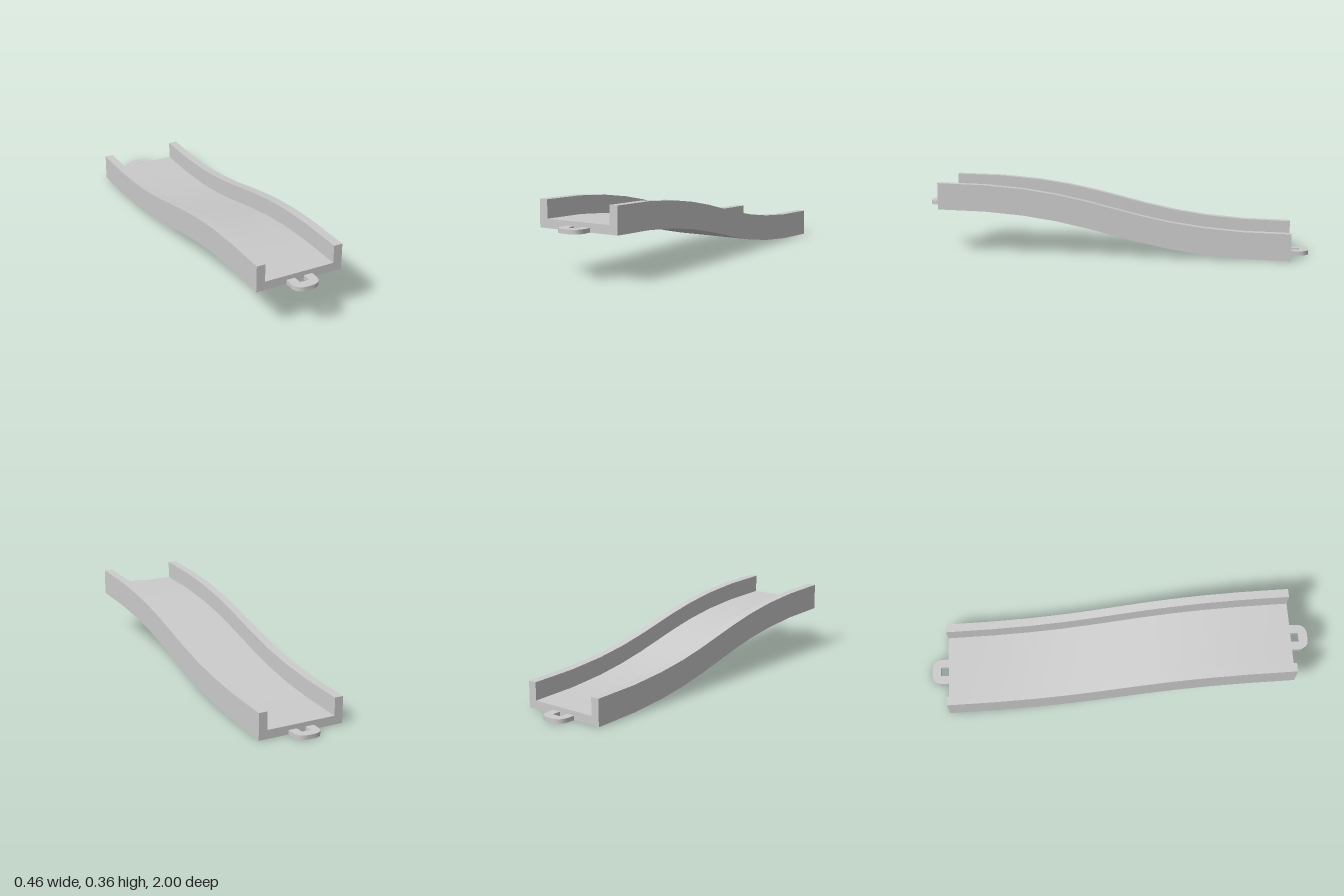
import * as THREE from 'three';
import { toCreasedNormals } from 'three/addons/utils/BufferGeometryUtils.js';

const HALF_LENGTH = 0.908;  // channel end in z
const RISE = 0.228;         // height of the front end
const HALF_WIDTH = 0.228;
const INNER = 0.183;        // inner face of the side walls
const FLOOR = 0.045;
const WALL = 0.137;

const material = new THREE.MeshStandardMaterial({ color: 0xcccccc });

function addMesh(group, name, geometry) {
  const mesh = new THREE.Mesh(toCreasedNormals(geometry, Math.PI / 6), material);
  mesh.name = name;
  group.add(mesh);
  return mesh;
}

// U-shaped section, extruded and then bent into an S-shaped slope
function channelGeometry() {
  const section = new THREE.Shape([
    [-HALF_WIDTH, 0], [HALF_WIDTH, 0], [HALF_WIDTH, WALL], [INNER, WALL],
    [INNER, FLOOR], [-INNER, FLOOR], [-INNER, WALL], [-HALF_WIDTH, WALL],
  ].map(([x, y]) => new THREE.Vector2(x, y)));
  const geometry = new THREE.ExtrudeGeometry(section, { depth: 1, steps: 10, bevelEnabled: false });
  const p = geometry.attributes.position;
  for (let i = 0; i < p.count; i++) {
    const t = p.getZ(i);
    p.setY(i, p.getY(i) + RISE * t * t * (3 - 2 * t));
    p.setZ(i, HALF_LENGTH * (t ** 3 - (1 - t) ** 3));
  }
  return geometry;
}

// Flat staple-shaped loop reaching out from the end of the channel
function loopGeometry() {
  const w = 0.069, r = 0.05, hole = 0.024, end = 1, holeEnd = 0.953;
  const s = new THREE.Shape();
  s.moveTo(hole, HALF_LENGTH);
  s.lineTo(w, HALF_LENGTH);
  s.lineTo(w, end - r);
  s.quadraticCurveTo(w - 0.004, end - 0.004, w - r, end);
  s.lineTo(r - w, end);
  s.quadraticCurveTo(0.004 - w, end - 0.004, -w, end - r);
  s.lineTo(-w, HALF_LENGTH);
  s.lineTo(-hole, HALF_LENGTH);
  s.lineTo(-hole, holeEnd);
  s.lineTo(hole, holeEnd);
  s.closePath();
  const geometry = new THREE.ExtrudeGeometry(s, { depth: 0.022, bevelEnabled: false, curveSegments: 6 });
  return geometry.rotateX(Math.PI / 2).translate(0, 0.022, 0);
}

export function createModel() {
  const group = new THREE.Group();
  group.name = 'slopedTrack';
  addMesh(group, 'channel', channelGeometry());

  // connector loops at the high front end and low back end
  addMesh(group, 'frontLoop', loopGeometry()).position.y = RISE;
  addMesh(group, 'backLoop', loopGeometry()).rotation.y = Math.PI;
  return group;
}
